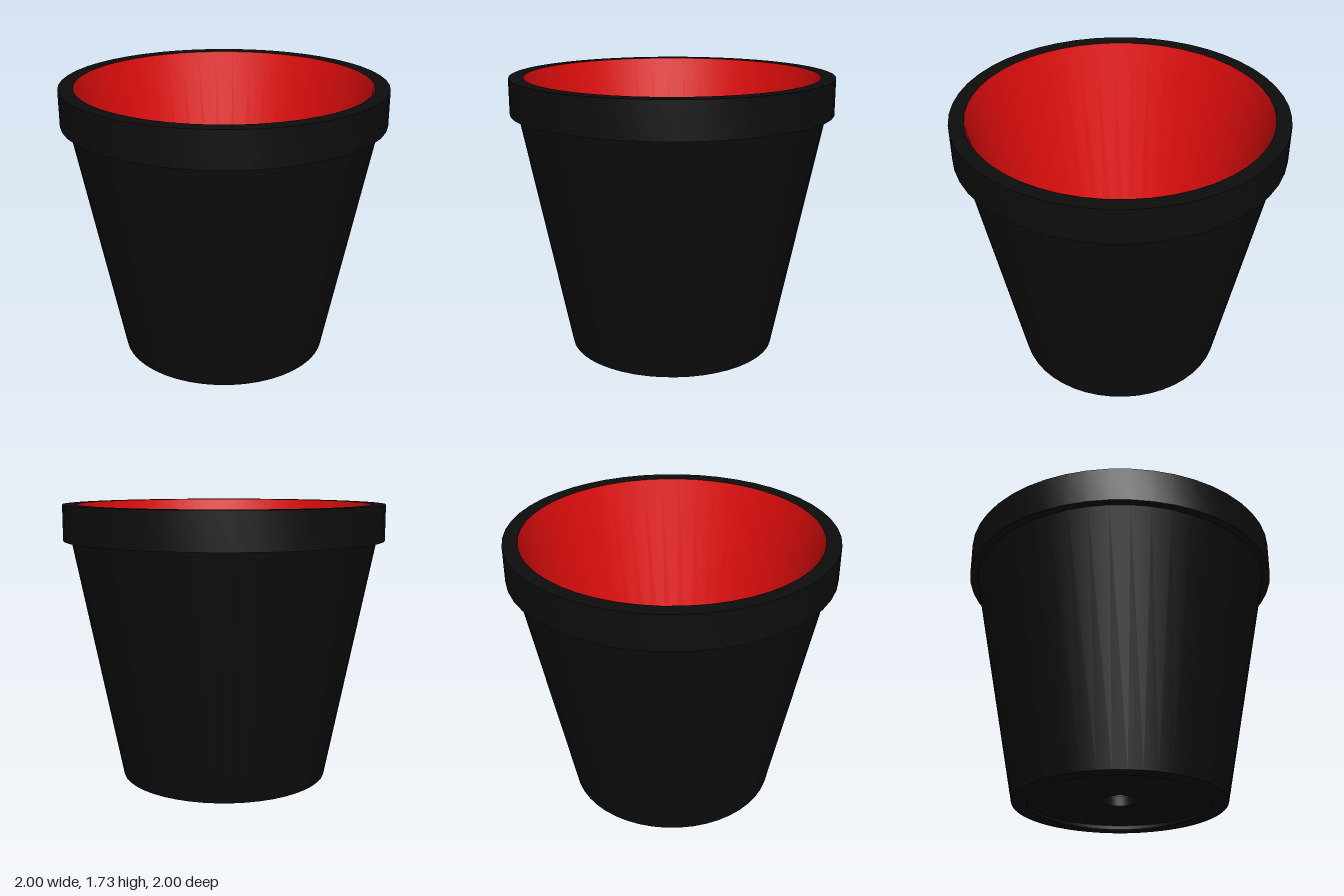
import * as THREE from 'three';
import { toCreasedNormals } from 'three/addons/utils/BufferGeometryUtils.js';

const SEGMENTS = 48;

// Revolve a profile of [radius, height] points, keeping its corners sharp
function revolve(name, profile, color) {
  const points = profile.map(([r, y]) => new THREE.Vector2(r, y));
  const geometry = toCreasedNormals(new THREE.LatheGeometry(points, SEGMENTS), Math.PI / 9);
  const mesh = new THREE.Mesh(geometry, new THREE.MeshStandardMaterial({ color }));
  mesh.name = name;
  return mesh;
}

export function createModel() {
  const pot = new THREE.Group();
  pot.name = 'flowerPot';

  // Outer shell: drain hole, recessed underside, foot ring, tapered wall, rim
  pot.add(revolve('outerShell', [
    [0.107, 0.09], [0.107, 0.025],
    [0.56, 0.025], [0.56, 0],
    [0.655, 0], [0.95, 1.51],
    [1, 1.51], [1, 1.73], [0.91, 1.73],
  ], 0x0d0d0d));

  // Inside: tapered wall and floor around the drain hole
  pot.add(revolve('innerLining', [
    [0.91, 1.73], [0.575, 0.09], [0.107, 0.09],
  ], 0xe00d0d));

  return pot;
}
